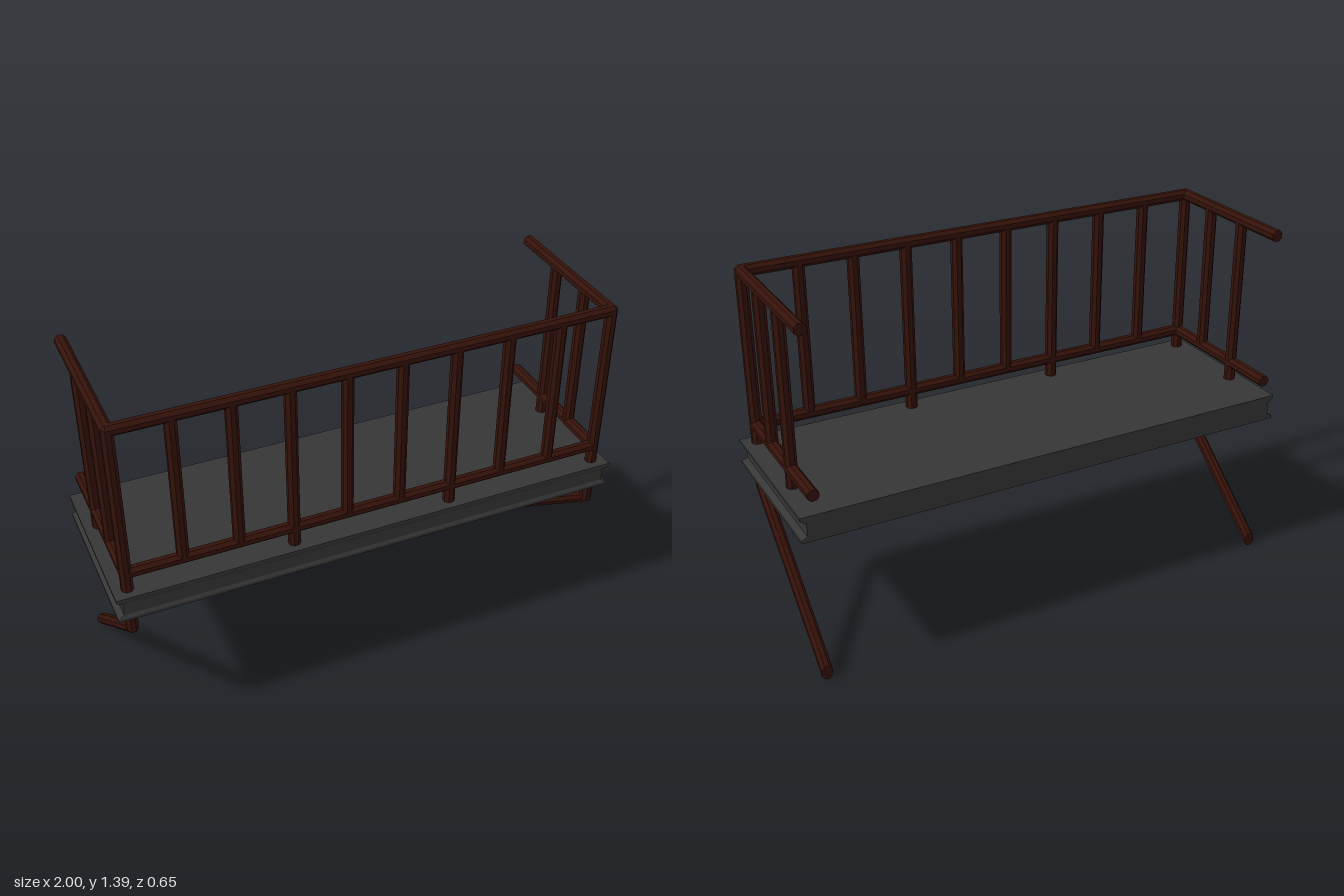
import * as THREE from 'three';

const R = 0.0232;      // circumradius of the eight-sided bars
const SIDES = 8;
const BACK = -0.325;   // wall plane
const POST_X = 0.945, POST_Z = 0.275;
const TOP_Y = 1.367, LOW_Y = 0.764, FLOOR_Y = 0.68;

const metal = new THREE.MeshStandardMaterial({ color: 0x35120a, flatShading: true });
const stone = new THREE.MeshStandardMaterial({ color: 0x363636, flatShading: true });
const V = (x, y, z) => new THREE.Vector3(x, y, z);

// Joins equal rings of points into a closed solid (rings run counter-clockwise about the path)
function loft(rings) {
  const n = rings[0].length, pos = [], idx = [];
  rings.forEach(r => r.forEach(p => pos.push(p.x, p.y, p.z)));
  for (let i = 0; i < rings.length - 1; i++)
    for (let j = 0; j < n; j++) {
      const a = i * n + j, b = i * n + (j + 1) % n;
      idx.push(a, b, b + n, a, b + n, a + n);
    }
  const last = (rings.length - 1) * n;
  for (let j = 1; j < n - 1; j++) {
    idx.push(0, j + 1, j);
    idx.push(last, last + j, last + j + 1);
  }
  const g = new THREE.BufferGeometry();
  g.setAttribute('position', new THREE.Float32BufferAttribute(pos, 3));
  g.setIndex(idx);
  const flat = g.toNonIndexed();
  flat.computeVertexNormals();
  return flat;
}

// Bar along a planar path with mitred bends; "side" is the normal of the path's plane
function bar(points, side, endNormal) {
  const last = points.length - 1;
  const dirs = points.slice(1).map((p, i) => p.clone().sub(points[i]).normalize());
  return loft(points.map((p, i) => {
    const d = dirs[Math.min(i, last - 1)];
    let cut = i > 0 && i < last ? dirs[i - 1].clone().add(dirs[i]) : d;
    if (i === last && endNormal) cut = endNormal;
    const up = d.clone().cross(side);
    return Array.from({ length: SIDES }, (_, k) => {
      const a = (k + 0.5) / SIDES * Math.PI * 2;
      const o = side.clone().multiplyScalar(Math.cos(a) * R).addScaledVector(up, Math.sin(a) * R);
      return o.addScaledVector(d, -o.dot(cut) / d.dot(cut)).add(p);
    });
  }));
}

// Bevelled knuckle where the handrails meet a corner post
function knuckle() {
  const r = R * Math.cos(Math.PI / SIDES), bevel = R * Math.tan(Math.PI / SIDES);
  const profile = [[0, -r], [R, -r], [R, bevel], [bevel, r], [0, r]];
  const g = new THREE.LatheGeometry(profile.map(([x, y]) => new THREE.Vector2(x, y)), SIDES);
  return g.rotateY(Math.PI / SIDES);
}

export function createModel() {
  const model = new THREE.Group();
  model.name = 'balcony';
  const add = (name, geometry, material = metal) => {
    const m = new THREE.Mesh(geometry, material);
    m.name = name;
    model.add(m);
    return m;
  };

  // Floor slab with a recessed band on the front and sides, flat at the wall
  const levels = [
    [0.589, 1, 0.325], [0.6, 1, 0.325], [0.612, 0.977, 0.318],
    [0.66, 0.977, 0.318], [0.679, 1, 0.325], [0.69, 1, 0.325],
  ];
  add('floorSlab', loft(levels.map(([y, x, z]) =>
    [V(-x, y, z), V(x, y, z), V(x, y, BACK), V(-x, y, BACK)])), stone);

  // Handrail and lower rail, each in three straight runs between posts and wall
  const yAxis = V(0, 1, 0);
  for (const [name, y] of [['Handrail', TOP_Y], ['LowerRail', LOW_Y]]) {
    add('front' + name, bar([V(-POST_X, y, POST_Z), V(POST_X, y, POST_Z)], yAxis));
    for (const s of [1, -1])
      add((s > 0 ? 'left' : 'right') + name,
        bar([V(s * POST_X, y, POST_Z), V(s * POST_X, y, BACK)], yAxis));
  }

  // Upright between the lower rail (or floor) and the handrail
  const baluster = (x, z, toFloor) => {
    const y0 = toFloor ? FLOOR_Y : LOW_Y;
    const g = new THREE.CylinderGeometry(R, R, TOP_Y - y0, SIDES);
    g.rotateY(Math.PI / SIDES);
    add('baluster', g).position.set(x, (TOP_Y + y0) / 2, z);
  };

  // Front balusters, every third one standing on the floor
  for (let i = 1; i <= 8; i++) baluster(-POST_X + i * 0.21, POST_Z, i % 3 === 0);

  for (const s of [1, -1]) {
    // Corner post bending into the slanted brace, cut flush with the wall
    add(s > 0 ? 'leftPostAndBrace' : 'rightPostAndBrace',
      bar([V(s * POST_X, TOP_Y, POST_Z), V(s * POST_X, 0.509, POST_Z),
        V(s * POST_X, 0.028, BACK)], V(1, 0, 0), V(0, 0, -1)));
    add('cornerKnuckle', knuckle()).position.set(s * POST_X, TOP_Y, POST_Z);
    // Side balusters
    baluster(s * POST_X, 0.092, false);
    baluster(s * POST_X, -0.106, true);
  }
  return model;
}
